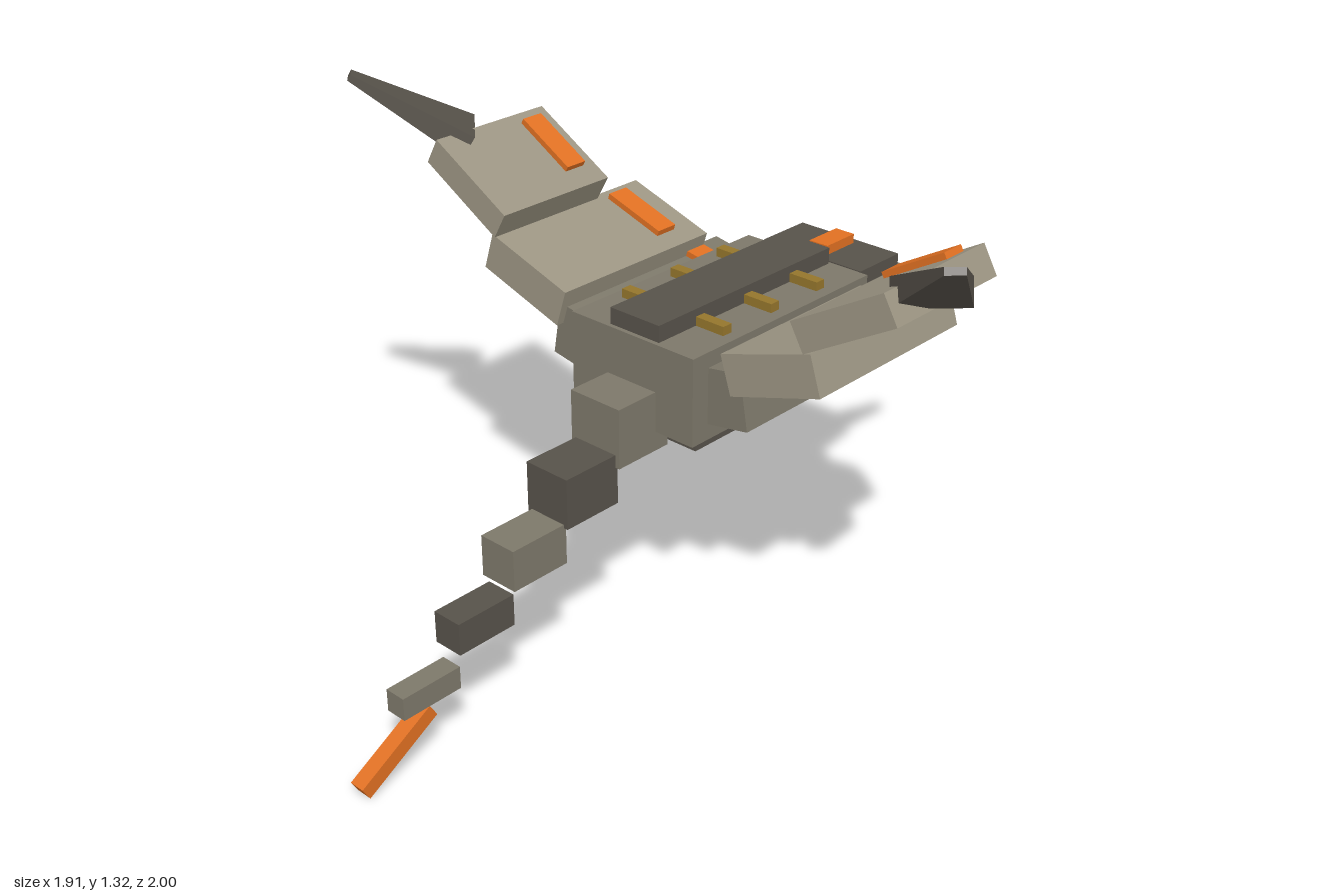
import * as THREE from 'three';

const mat = (color) => new THREE.MeshStandardMaterial({ color, flatShading: true });

export function createModel() {
  const model = new THREE.Group();
  model.name = 'flyingCreature';
  const hull = mat(0x7d786a), dark = mat(0x57524a), light = mat(0x9c9583);
  const orange = mat(0xe07022), gold = mat(0x94752c), tan = mat(0xd3a868);

  const box = (name, size, pos, material, parent = model) => {
    const mesh = new THREE.Mesh(new THREE.BoxGeometry(...size), material);
    mesh.name = name;
    mesh.position.set(...pos);
    parent.add(mesh);
    return mesh;
  };

  // Tapered four-sided spike from one point to another; side sets the width direction
  const spike = (name, from, to, width, thick, taper, side) => {
    const a = new THREE.Vector3(...from), b = new THREE.Vector3(...to);
    const geo = new THREE.CylinderGeometry(taper * Math.SQRT1_2, Math.SQRT1_2, 1, 4);
    geo.rotateY(Math.PI / 4);
    geo.scale(width, a.distanceTo(b), thick);
    const y = b.clone().sub(a).normalize();
    const x = new THREE.Vector3(...side);
    x.addScaledVector(y, -x.dot(y)).normalize();
    const z = x.clone().cross(y);
    geo.applyMatrix4(new THREE.Matrix4().makeBasis(x, y, z));
    const mesh = new THREE.Mesh(geo, dark);
    mesh.name = name;
    mesh.position.copy(a.add(b).multiplyScalar(0.5));
    model.add(mesh);
  };

  // Body, back ridge, belly and cross ribs
  box('body', [0.4, 0.235, 0.675], [0, 0.74, -0.253], hull);
  box('backRidge', [0.16, 0.06, 0.655], [0, 0.872, -0.255], dark);
  box('belly', [0.25, 0.09, 0.425], [0, 0.59, -0.225], dark);
  for (const z of [-0.435, -0.255, -0.075]) {
    box('backRib', [0.335, 0.035, 0.03], [0, 0.864, z], gold);
  }

  // Head
  box('head', [0.325, 0.16, 0.205], [0, 0.726, -0.71], hull);
  box('headPlate', [0.325, 0.042, 0.165], [0, 0.828, -0.695], dark);
  box('headLight', [0.06, 0.03, 0.115], [0, 0.86, -0.698], orange);
  box('jaw', [0.22, 0.035, 0.04], [0, 0.682, -0.813], tan);

  // Wing segments: [centre x, centre y, centre z, width, height, length, degrees, light offset z, light width]
  const wing = [
    [0.212, 0.743, -0.27, 0.2, 0.148, 0.6, 10, -0.18, 0.12],
    [0.403, 0.872, -0.215, 0.275, 0.105, 0.535, 18, -0.163, 0.19],
    [0.605, 1.068, -0.128, 0.285, 0.08, 0.375, 30, -0.117, 0.19],
  ];
  for (const s of [1, -1]) {
    const label = s > 0 ? 'left' : 'right';
    wing.forEach(([x, y, z, w, h, l, deg, dz, lw], i) => {
      const segment = new THREE.Group();
      segment.name = `${label}WingSegment${i + 1}`;
      segment.position.set(s * x, y, z);
      segment.rotation.z = s * THREE.MathUtils.degToRad(deg);
      box('wingPanel', [w, h, l], [0, 0, 0], i ? light : hull, segment);
      box('wingLight', [lw, 0.024, 0.065], [s * 0.015, h / 2 + 0.004, dz], orange, segment);
      model.add(segment);
    });
    spike(`${label}WingClaw`, [s * 0.738, 1.141, -0.075], [s * 0.935, 1.318, 0.148],
      0.18, 0.07, 0.25, [-s * 0.73, 0, 0.68]);
    spike(`${label}Mandible`, [s * 0.13, 0.715, -0.79], [s * 0.159, 0.7, -0.999],
      0.062, 0.07, 0.36, [1, 0, 0]);
    box(`${label}Eye`, [0.06, 0.06, 0.068], [s * 0.178, 0.73, -0.682], orange);
    box(`${label}SideVent`, [0.04, 0.045, 0.125], [s * 0.19, 0.652, -0.48], dark);
  }

  // Tail: shrinking blocks stepping down behind the body, then the sting
  for (let i = 0; i < 5; i++) {
    box(`tailSegment${i + 1}`, [0.16 - 0.0255 * i, 0.16 - 0.025 * i, 0.172],
      [0, 0.65 - 0.1135 * i, 0.126 + 0.165 * i], i % 2 ? dark : hull);
  }
  const sting = box('tailSting', [0.042, 0.04, 0.243], [0, 0.081, 0.885], orange);
  sting.rotation.x = Math.PI / 6;

  return model;
}
